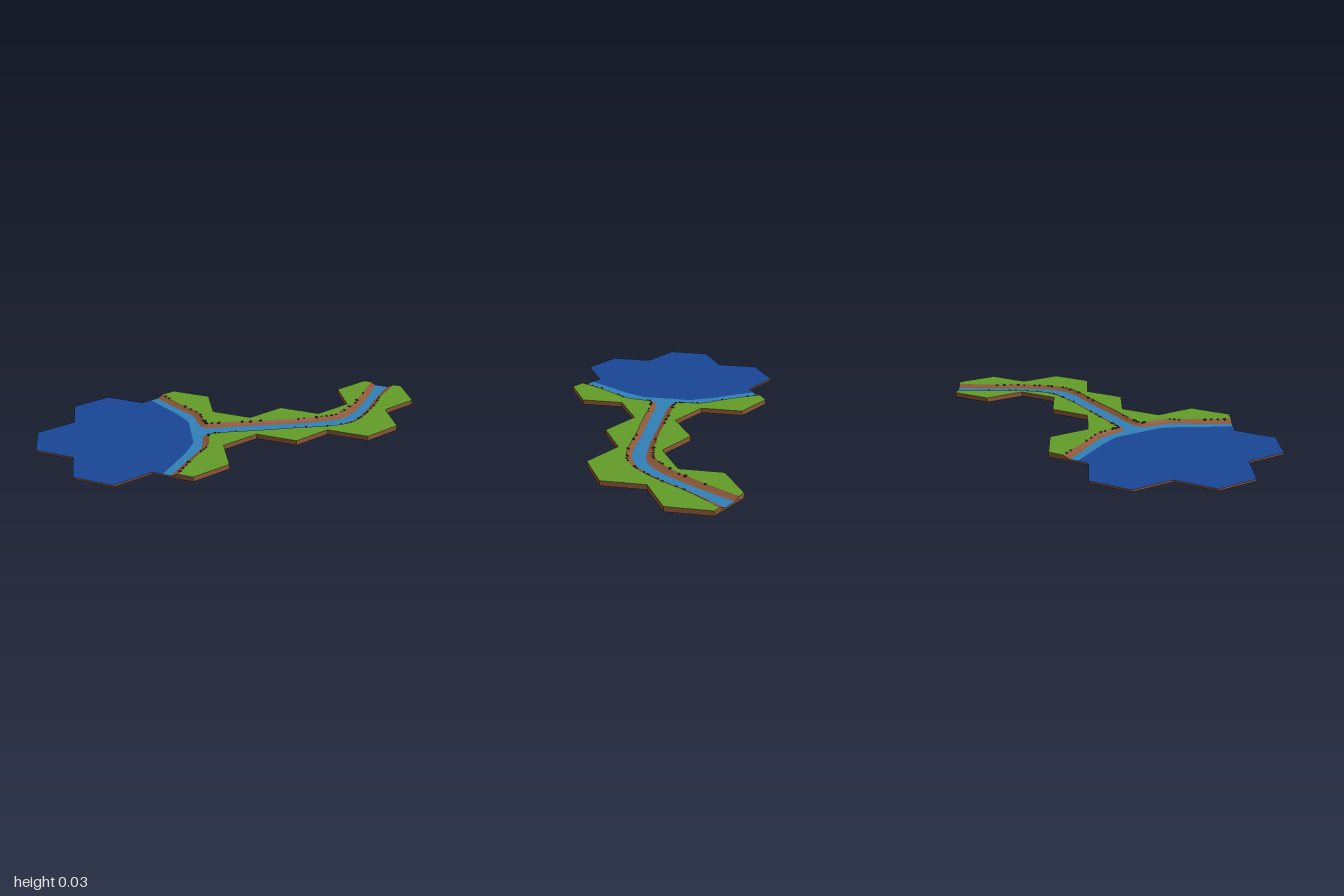
import * as THREE from 'three';

const WATER = 0.01, LAND = 0.025;
const U = 2 / 11, V = 0.105; // half-width and half-radius of one hexagon

const mat = (name, color, side = THREE.FrontSide) => {
  const m = new THREE.MeshStandardMaterial({ color, side });
  m.name = name;
  return m;
};

const corners = (list) => list.map(([i, j]) => [i * U, j * V]);
const mirrorZ = (list) => list.map(([x, z]) => [x, -z]);

// Smooth line through a few [x, z] points
const smooth = (pts) =>
  new THREE.CatmullRomCurve3(pts.map(([x, z]) => new THREE.Vector3(x, 0, z)))
    .getPoints((pts.length - 1) * 4).map((p) => [p.x, p.z]);

const toShape = (pts) => new THREE.Shape(pts.map(([x, z]) => new THREE.Vector2(x, -z)));

function slab(name, pts, y0, y1, materials) {
  const g = new THREE.ExtrudeGeometry(toShape(pts), { depth: y1 - y0, bevelEnabled: false });
  g.rotateX(-Math.PI / 2).translate(0, y0, 0);
  const mesh = new THREE.Mesh(g, materials);
  mesh.name = name;
  return mesh;
}

function sheet(name, pts, y, material) {
  const g = new THREE.ShapeGeometry(toShape(pts));
  g.rotateX(-Math.PI / 2).translate(0, y, 0);
  const mesh = new THREE.Mesh(g, material);
  mesh.name = name;
  return mesh;
}

// Sloping bank between the waterline and the edge of the grass
function bank(name, water, top, flip, material) {
  const profile = [[0, WATER], [0.5, WATER + 0.006], [1, LAND], [1, WATER]];
  const pos = [], index = [];
  water.forEach(([x, z], i) => {
    const [tx, tz] = top[i];
    for (const [t, y] of profile) pos.push(x + (tx - x) * t, y, z + (tz - z) * t);
  });
  const tri = (a, b, c) => (flip ? index.push(a, c, b) : index.push(a, b, c));
  for (let i = 0; i < water.length - 1; i++) {
    for (let j = 0; j < 2; j++) {
      const a = i * 4 + j;
      tri(a, a + 4, a + 1);
      tri(a + 4, a + 5, a + 1);
    }
  }
  const e = (water.length - 1) * 4;
  for (const k of [1, 2]) { // end caps
    tri(0, k, k + 1);
    tri(e, e + k + 1, e + k);
  }
  let g = new THREE.BufferGeometry();
  g.setAttribute('position', new THREE.Float32BufferAttribute(pos, 3));
  g.setIndex(index);
  g = g.toNonIndexed();
  g.computeVertexNormals();
  const mesh = new THREE.Mesh(g, material);
  mesh.name = name;
  return mesh;
}

export function createModel() {
  const model = new THREE.Group();
  model.name = 'riverTiles';

  const grass = mat('grass green', 0x639e28);
  const earth = mat('earth brown', 0x8d5838, THREE.DoubleSide);
  const deep = mat('deep water blue', 0x194796);
  const shallow = mat('shallow water blue', 0x3080b8);
  const stone = mat('dark stone', 0x4a2d1f);

  // Hexagon outline, listed in three stretches
  const northRim = corners([[4.5, -5], [3.5, -4], [3.5, -2], [2.5, -1], [1.5, -2], [0.5, -1],
    [-0.5, -2], [-0.5, -4], [-1.5, -5]]);
  const southRim = corners([[5.5, -4], [5.5, -2], [4.5, -1], [4.5, 1], [3.5, 2], [2.5, 1],
    [1.5, 2], [0.5, 1], [-0.5, 2], [-0.5, 4], [-1.5, 5]]);
  const westNorth = corners([[-2.5, -4], [-3.5, -5], [-4.5, -4], [-4.5, -2], [-5.5, -1]]);
  const west = [...westNorth, ...mirrorZ(westNorth).reverse()];

  // Coast and river lines: grass edge and waterline
  const coastTop = [[-0.337, -0.488], [-0.273, -0.369], [-0.214, -0.278], [-0.166, -0.203],
    [-0.15, -0.107], [-0.139, -0.07]];
  const coastWater = [[-0.37, -0.469], [-0.302, -0.358], [-0.242, -0.268], [-0.196, -0.19],
    [-0.18, -0.09], [-0.165, -0.05]];
  const northTop = smooth([...coastTop, [-0.075, -0.064], [0.086, -0.061], [0.3, -0.056],
    [0.433, -0.064], [0.54, -0.088], [0.62, -0.15], [0.7, -0.255], [0.78, -0.384], [0.85, -0.5065]]);
  const northWater = smooth([...coastWater, [-0.11, -0.034], [0.086, -0.031], [0.3, -0.028],
    [0.45, -0.033], [0.565, -0.055], [0.65, -0.125], [0.73, -0.236], [0.806, -0.364], [0.875, -0.492]]);
  const southTop = smooth([...mirrorZ(coastTop), [-0.075, 0.058], [0.086, 0.058], [0.3, 0.055],
    [0.513, 0.053], [0.62, 0.016], [0.684, -0.043], [0.754, -0.134], [0.834, -0.267], [0.963, -0.441]]);
  const southWater = smooth([...mirrorZ(coastWater), [-0.11, 0.034], [0.086, 0.033], [0.3, 0.03],
    [0.5, 0.03], [0.6, -0.006], [0.66, -0.06], [0.73, -0.15], [0.81, -0.28], [0.935, -0.457]]);
  const deepHalf = [[-0.406, -0.448], [-0.33, -0.32], [-0.278, -0.235], [-0.23, -0.126]];
  const deepEdge = [...deepHalf, ...mirrorZ(deepHalf).reverse()];

  // Ground and water
  model.add(slab('base', [...southRim, ...mirrorZ(westNorth), ...[...westNorth].reverse(),
    ...[...northRim].reverse()], 0, WATER - 0.0005, earth));
  model.add(sheet('deepWater', [...west, ...[...deepEdge].reverse()], WATER, deep));
  model.add(sheet('shallowWater', [...deepEdge, ...southWater, ...[...northWater].reverse()],
    WATER, shallow));

  // Grass land with earth sides, and its banks
  model.add(slab('northLand', [...northTop, ...northRim], WATER - 0.0005, LAND, [grass, earth]));
  model.add(slab('southLand', [...southTop, ...southRim], WATER - 0.0005, LAND, [grass, earth]));
  model.add(bank('northBank', northWater, northTop, false, earth));
  model.add(bank('southBank', southWater, southTop, true, earth));

  // Small stones scattered along the banks
  let seed = 7;
  const rand = () => (seed = (seed * 16807) % 2147483647) / 2147483647;
  const stoneGeometry = new THREE.DodecahedronGeometry(1);
  const stones = new THREE.Group();
  stones.name = 'bankStones';
  for (const [water, top] of [[northWater, northTop], [southWater, southTop]]) {
    for (let n = 0; n < 42; n++) {
      const i = 1 + Math.floor(rand() * (top.length - 5));
      const t = 0.75 + rand() * 0.3;
      const r = 0.0045 + rand() * 0.0035;
      const s = new THREE.Mesh(stoneGeometry, stone);
      s.name = 'stone';
      s.position.set(water[i][0] + (top[i][0] - water[i][0]) * t, LAND - 0.001,
        water[i][1] + (top[i][1] - water[i][1]) * t);
      s.scale.set(r, r * 0.75, r * (0.8 + rand() * 0.5));
      s.rotation.y = rand() * Math.PI;
      stones.add(s);
    }
  }
  model.add(stones);
  return model;
}
